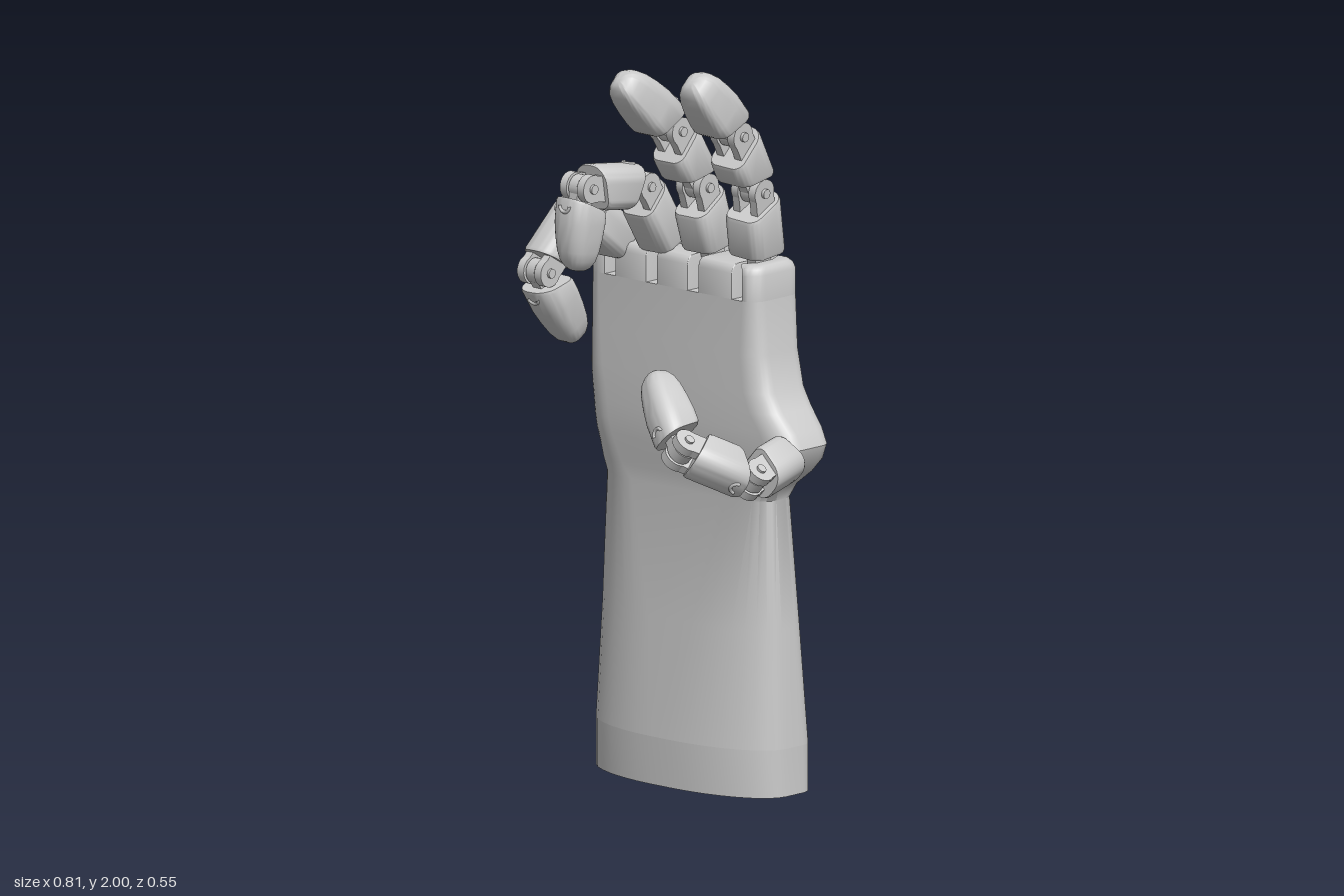
import * as THREE from 'three';
import { toCreasedNormals } from 'three/addons/utils/BufferGeometryUtils.js';

const grey = new THREE.MeshStandardMaterial({ color: 0xcccccc });

function add(parent, geo, name, x = 0, y = 0, z = 0) {
  const m = new THREE.Mesh(geo, grey);
  m.name = name;
  m.position.set(x, y, z);
  parent.add(m);
  return m;
}

// cylinder lying along x
const barrel = (r, w, n = 20) => new THREE.CylinderGeometry(r, r, w, n).rotateZ(Math.PI / 2);

// Rounded rectangle in x/z; r = corner radii [front right, front left, back left, back right], each [rx, rz]
function ringPoints({ x: [x0, x1], z: [z0, z1], r }) {
  const steps = 8, pts = [];
  [[x1, z1, -1, -1], [x0, z1, 1, -1], [x0, z0, 1, 1], [x1, z0, -1, 1]].forEach(([cx, cz, sx, sz], q) => {
    for (let i = 0; i <= steps; i++) {
      const a = (q + i / steps) * Math.PI / 2;
      const [rx, rz] = r[q];
      pts.push([cx + sx * rx + Math.cos(a) * rx, cz + sz * rz + Math.sin(a) * rz]);
    }
  });
  return pts;
}

// Capped skin over a stack of rings; slope tilts a ring from its back to its front
function loft(rings, crease = 0.6) {
  const pos = [], idx = [];
  let n = 0;
  for (const ring of rings) {
    const pts = ringPoints(ring);
    n = pts.length;
    for (const [x, z] of pts) pos.push(x, ring.y + (ring.slope || 0) * (z - ring.z[0]), z);
  }
  const last = (rings.length - 1) * n, total = rings.length * n;
  for (const ring of [rings[0], rings[rings.length - 1]]) {
    const zm = (ring.z[0] + ring.z[1]) / 2;
    pos.push((ring.x[0] + ring.x[1]) / 2, ring.y + (ring.slope || 0) * (zm - ring.z[0]), zm);
  }
  for (let j = 0; j < n; j++) {
    const k = (j + 1) % n;
    for (let i = 0; i < last; i += n) idx.push(i + j, i + n + j, i + k, i + k, i + n + j, i + n + k);
    idx.push(total, j, k, total + 1, last + k, last + j);
  }
  const g = new THREE.BufferGeometry();
  g.setAttribute('position', new THREE.Float32BufferAttribute(pos, 3));
  g.setIndex(idx);
  return toCreasedNormals(g, crease);
}

// One finger link from joint a to joint b; local y runs along it, local +z is the palm side
function link(a, b, hinge, w, d, first, isTip) {
  const g = new THREE.Group();
  const dir = b.clone().sub(a), L = dir.length();
  dir.normalize();
  const zAxis = hinge.clone().cross(dir).normalize();
  const xAxis = dir.clone().cross(zAxis);
  g.quaternion.setFromRotationMatrix(new THREE.Matrix4().makeBasis(xAxis, dir, zAxis));
  g.position.copy(a);

  const start = first ? 0.07 : 0.025, end = L - 0.025;
  const ring = (y, s, slope = 0, shift = 0) => ({
    y, slope,
    x: [-w / 2 * s, w / 2 * s],
    z: [-d / 2 * s + shift, d / 2 * s + shift],
    r: [0.03, 0.03, 0.047, 0.047].map((r) => [r * s, r * s]),
  });
  const rings = [ring(start, 0.95, first ? 0.1 : 0.35), ring(start + 0.008, 1, first ? 0.1 : 0.35)];
  if (isTip) {
    for (const [t, s] of [[0.42, 1], [0.6, 0.93], [0.76, 0.83], [0.87, 0.7], [0.95, 0.5], [0.985, 0.3], [1, 0.06]])
      rings.push(ring(t * L, s, 0, (1 - s) * 0.012));
  } else {
    rings.push(ring(end - 0.008, 1, -0.3), ring(end, 0.95, -0.3));
  }
  add(g, loft(rings), isTip ? 'fingertip' : 'linkBody');

  // tongue that enters the joint before this link
  add(g, barrel(0.034, 0.03), 'tongueBarrel');
  add(g, new THREE.BoxGeometry(0.03, start + 0.04, 0.06), 'tongue', 0, (start + 0.04) / 2);
  if (!first) {
    const loop = new THREE.TorusGeometry(0.017, 0.005, 6, 14, Math.PI);
    add(g, loop, 'tendonLoop', 0, start + 0.022, -d / 2);
  }
  // fork and pin at the far joint
  if (!isTip) {
    for (const s of [-1, 1]) {
      add(g, barrel(0.038, 0.024), 'forkEye', s * 0.031, L);
      add(g, new THREE.BoxGeometry(0.024, 0.07, 0.07), 'forkArm', s * 0.031, L - 0.035);
    }
    add(g, barrel(0.013, w * 0.86, 14), 'jointPin', 0, L);
  }
  return g;
}

function finger(name, points, hinge, w, d) {
  const g = new THREE.Group();
  g.name = name;
  const p = points.map((q) => new THREE.Vector3(...q));
  ['lowerLink', 'middleLink', 'tipLink'].forEach((part, i) => {
    const l = link(p[i], p[i + 1], hinge, w, d, i === 0, i === 2);
    l.name = part;
    g.add(l);
  });
  return g;
}

export function createModel() {
  const model = new THREE.Group();

  // forearm and palm: y, x range, z range, front corner radii, back corner radius
  const section = (y, x0, x1, z0, z1, fx, fz, b) => ({
    y, x: [x0, x1], z: [z0, z1], r: [[fx, fz], [fx, fz], [b, b], [b, b]],
  });
  const base = section(0.13, -0.41, 0.255, -0.3, -0.05, 0.3, 0.13, 0.055);
  const arm = [
    base,
    section(0.45, -0.392, 0.24, -0.279, -0.08, 0.24, 0.1, 0.05),
    section(0.8, -0.375, 0.222, -0.257, -0.107, 0.14, 0.07, 0.045),
    section(0.84, -0.378, 0.245, -0.262, -0.104, 0.11, 0.06, 0.045),
    section(0.88, -0.383, 0.295, -0.267, -0.1, 0.1, 0.06, 0.045),
    section(0.92, -0.388, 0.333, -0.27, -0.096, 0.09, 0.055, 0.05),
    section(0.96, -0.392, 0.345, -0.273, -0.093, 0.085, 0.055, 0.05),
    section(1.0, -0.395, 0.325, -0.275, -0.092, 0.085, 0.055, 0.05),
    section(1.05, -0.398, 0.282, -0.278, -0.092, 0.08, 0.05, 0.045),
    section(1.1, -0.4, 0.25, -0.281, -0.093, 0.07, 0.05, 0.045),
    section(1.2, -0.4, 0.225, -0.285, -0.097, 0.06, 0.05, 0.045),
    section(1.345, -0.397, 0.213, -0.29, -0.102, 0.045, 0.045, 0.045),
  ];
  add(model, loft(arm), 'forearmAndPalm');

  // wrist base with mounting holes underneath
  const shape = new THREE.Shape(ringPoints(base).map(([x, z]) => new THREE.Vector2(x, z)));
  const hole = (x, z, r) => shape.holes.push(new THREE.Path().absarc(x, z, r, 0, Math.PI * 2, true));
  hole(-0.078, -0.18, 0.06);
  for (const s of [-1, 1]) {
    hole(-0.078 + s * 0.27, -0.25, 0.018);
    hole(-0.078 + s * 0.24, -0.15, 0.018);
  }
  const baseGeo = new THREE.ExtrudeGeometry(shape, { depth: 0.13, bevelEnabled: false, curveSegments: 20 });
  add(model, toCreasedNormals(baseGeo.rotateX(Math.PI / 2), 0.6), 'wristBase', 0, 0.13);
  add(model, new THREE.CylinderGeometry(0.025, 0.025, 0.09, 6), 'mountingBolt', -0.078, 0.085, -0.18);

  // knuckle blocks with a slot between them for each finger
  const slots = [-0.31, -0.16, -0.01, 0.15], gap = 0.018;
  for (let i = 0; i <= slots.length; i++) {
    const x0 = i ? slots[i - 1] + gap : -0.397;
    const x1 = i < slots.length ? slots[i] - gap : 0.213;
    const rl = i ? 0.004 : 0.045, rr = i < slots.length ? 0.004 : 0.045;
    const ring = (y, inset) => ({
      y,
      x: [x0 + (i ? 0 : inset), x1 - (i < slots.length ? 0 : inset)],
      z: [-0.29 + inset, -0.102 - inset],
      r: [rr, rl, rl, rr].map((r) => [r, r]),
    });
    add(model, loft([ring(1.345, 0), ring(1.415, 0), ring(1.43, 0.005), ring(1.438, 0.013), ring(1.44, 0.022)]), 'knuckleBlock');
  }
  add(model, barrel(0.014, 0.606), 'knucklePin', -0.092, 1.39, -0.195);
  for (const x of slots) {
    const screw = new THREE.CylinderGeometry(0.012, 0.012, 0.01, 14).rotateX(Math.PI / 2);
    add(model, screw, 'tendonScrew', x, 1.3, -0.286);
  }

  // four fingers, from straightest to most curled
  const across = new THREE.Vector3(1, 0, 0);
  model.add(finger('indexFinger',
    [[0.15, 1.39, -0.195], [0.167, 1.64, -0.145], [0.178, 1.81, -0.05], [0.195, 1.99, 0.115]], across, 0.12, 0.135));
  model.add(finger('middleFinger',
    [[-0.01, 1.39, -0.195], [-0.01, 1.63, -0.12], [-0.01, 1.8, -0.015], [-0.01, 1.975, 0.18]], across, 0.118, 0.13));
  model.add(finger('ringFinger',
    [[-0.16, 1.39, -0.195], [-0.16, 1.62, -0.055], [-0.16, 1.65, 0.17], [-0.16, 1.425, 0.195]], across, 0.116, 0.12));
  model.add(finger('littleFinger',
    [[-0.31, 1.39, -0.195], [-0.31, 1.55, 0.01], [-0.31, 1.4, 0.175], [-0.31, 1.19, 0.035]], across, 0.116, 0.12));

  // thumb, hinged across the side of the palm
  model.add(finger('thumb',
    [[0.295, 0.945, -0.19], [0.34, 0.91, 0.04], [0.235, 1.0, 0.205], [0.065, 1.175, 0.135]],
    new THREE.Vector3(-0.67, -0.74, 0), 0.115, 0.12));

  return model;
}
